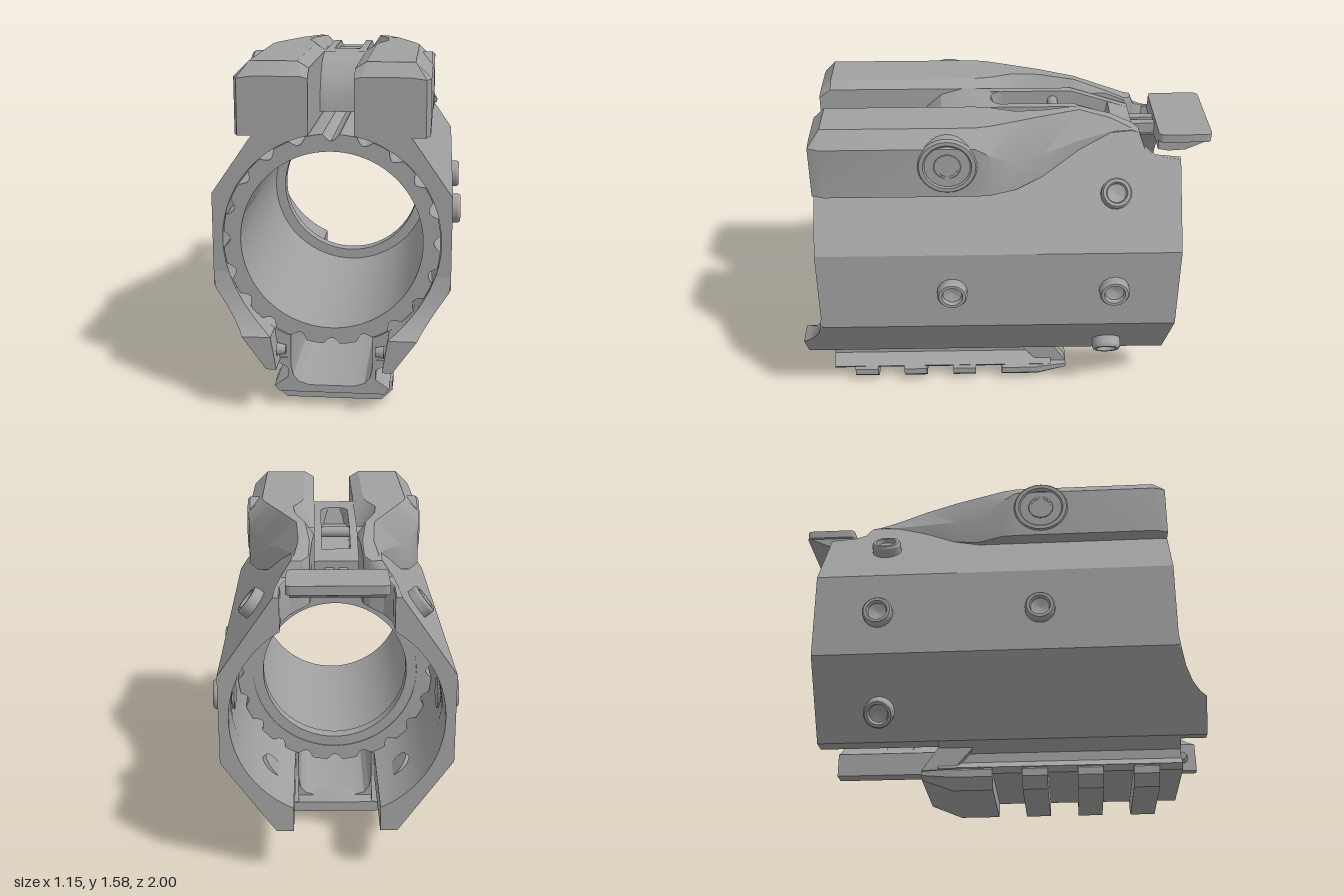
import * as THREE from 'three';
import { toCreasedNormals } from 'three/addons/utils/BufferGeometryUtils.js';

const CY = 0.79;      // bore axis height
const BORE = 0.485;   // housing bore radius
const V2 = (p) => new THREE.Vector2(p[0], p[1]);

// Skin equal-length closed cross-sections and cap both ends
function loft(sections) {
  const n = sections[0].length, pos = sections.flat(2), idx = [];
  for (let s = 0; s < sections.length - 1; s++)
    for (let i = 0; i < n; i++) {
      const j = (i + 1) % n, a = s * n + i, b = s * n + j;
      idx.push(a, b, b + n, a, b + n, a + n);
    }
  const flat = (sec, ax) => sec.map((p) => new THREE.Vector2(p[0], p[ax]));
  const ax = sections[0].every((p) => p[2] === sections[0][0][2]) ? 1 : 2;
  const last = (sections.length - 1) * n;
  const area = Math.sign(THREE.ShapeUtils.area(flat(sections[0], ax)));
  for (const [sec, off, front] of [[sections[0], 0, false], [sections.at(-1), last, true]])
    for (const t of THREE.ShapeUtils.triangulateShape(flat(sec, ax), [])) {
      const p = t.map((i) => flat(sec, ax)[i]);
      const cross = (p[1].x - p[0].x) * (p[2].y - p[0].y) - (p[1].y - p[0].y) * (p[2].x - p[0].x);
      const keep = (cross * area > 0) === front;
      idx.push(t[0] + off, t[keep ? 1 : 2] + off, t[keep ? 2 : 1] + off);
    }
  // Turn the skin outward if its signed volume is negative
  const P = (i) => new THREE.Vector3().fromArray(pos, i * 3);
  let vol = 0;
  for (let i = 0; i < idx.length; i += 3) vol += P(idx[i]).dot(P(idx[i + 1]).cross(P(idx[i + 2])));
  if (vol < 0) idx.reverse();
  const g = new THREE.BufferGeometry();
  g.setAttribute('position', new THREE.Float32BufferAttribute(pos, 3));
  g.setIndex(idx);
  return toCreasedNormals(g, 0.4);
}

// Mirror a geometry across x with corrected winding
function mirrored(geo) {
  const g = geo.index ? geo.toNonIndexed() : geo.clone();
  for (const name of ['position', 'normal']) {
    const a = g.attributes[name];
    for (let i = 0; i < a.count; i += 3) {
      const t = [a.getX(i + 1), a.getY(i + 1), a.getZ(i + 1)];
      a.setXYZ(i + 1, a.getX(i + 2), a.getY(i + 2), a.getZ(i + 2));
      a.setXYZ(i + 2, ...t);
    }
    for (let i = 0; i < a.count; i++) a.setX(i, -a.getX(i));
  }
  return g;
}

// Extrude an x,y outline from z0 to z1
function alongZ(shape, z0, z1) {
  const s = Array.isArray(shape) ? new THREE.Shape(shape.map(V2)) : shape;
  const g = new THREE.ExtrudeGeometry(s, { depth: z1 - z0, bevelEnabled: false, curveSegments: 40 });
  return toCreasedNormals(g.translate(0, 0, z0), 0.4);
}
// Extrude a z,y outline from x0 to x1
const alongX = (pts, x0, x1) => alongZ(pts, -x1, -x0).rotateY(-Math.PI / 2);
const symmetric = (half) => [...half, ...half.map(([x, y]) => [-x, y]).reverse()];

// One cross-section of a housing half, including its top block
function housingSection([z, xi, w, yc, wt, yt, s, drop]) {
  const slant = (x) => 1 + (0.53 - x) * 1.43;
  const foot = w > 0.35 ? [0.35, 1.26] : [w, slant(w)];
  const pts = [[0.2, 0.23], [0.28, 0.23], [0.53, 0.58], [0.53, 1], foot, [w, foot[1]],
    [w, yc], [wt, yt], [xi + s, yt], [xi, yt - drop]];
  const a0 = Math.acos(xi / BORE), a1 = -Math.acos(0.2 / BORE);
  for (let i = 0; i <= 24; i++) {
    const a = a0 + (a1 - a0) * i / 24;
    pts.push([BORE * Math.cos(a), CY + BORE * Math.sin(a)]);
  }
  return pts.map(([x, y]) => [x, y, z]);
}

export function createModel() {
  const group = new THREE.Group();
  const grey = new THREE.MeshStandardMaterial({ color: 0xa0a0a0 });
  grey.name = 'grey metal';
  const add = (name, geo) => {
    const m = new THREE.Mesh(geo, grey);
    m.name = name;
    group.add(m);
    return m;
  };
  const pair = (name, geo) => { add(name + 'Left', geo); add(name + 'Right', mirrored(geo)); };

  // Housing halves: z, inner x, block x, side top, top edge x, top y, scoop width, scoop depth
  pair('housing', loft([
    [0.875, 0.1, 0.41, 1.51, 0.34, 1.52, 0.03, 0.01],
    [0.82, 0.1, 0.43, 1.51, 0.36, 1.58, 0.05, 0.03],
    [0.12, 0.1, 0.43, 1.51, 0.36, 1.58, 0.05, 0.03],
    [0.05, 0.1, 0.425, 1.47, 0.345, 1.58, 0.06, 0.05],
    [-0.07, 0.1, 0.375, 1.4, 0.3, 1.58, 0.1, 0.12],
    [-0.2, 0.1, 0.32, 1.42, 0.25, 1.58, 0.09, 0.12],
    [-0.37, 0.1, 0.25, 1.45, 0.18, 1.575, 0.04, 0.06],
    [-0.52, 0.11, 0.205, 1.47, 0.17, 1.525, 0.01, 0.01],
    [-0.62, 0.12, 0.2, 1.475, 0.19, 1.48, 0.005, 0.01],
    [-0.655, 0.15, 0.205, 1.465, 0.2, 1.468, 0.005, 0.01],
    [-0.68, 0.21, 0.25, 1.4, 0.248, 1.401, 0.005, 0.01],
    [-0.73, 0.25, 0.27, 1.372, 0.268, 1.373, 0.005, 0.005],
    [-0.85, 0.25, 0.28, 1.358, 0.275, 1.36, 0.005, 0.005],
  ].map(housingSection)));

  // Curved lower horns at the front of the housing
  pair('frontHorn', loft([[0.23, 1], [0.38, 1], [0.4, 0.97], [0.44, 0.935], [0.5, 0.905], [0.57, 0.885], [0.64, 0.875]]
    .map(([y, zf]) => {
      const xo = Math.min(0.53, 0.28 + (y - 0.23) * 0.714);
      const xi = y < 0.38 ? 0.235 : Math.sqrt(BORE ** 2 - (y - CY) ** 2);
      return [[xi, y, 0.86], [xo, y, 0.86], [xo, y, zf], [xi, y, zf]];
    })));
  pair('hornPin', new THREE.CylinderGeometry(0.02, 0.03, 0.04, 12).rotateZ(Math.PI / 2).translate(0.22, 0.3, 0.93));

  // Fluted sleeve with a narrower lip at its rear
  const rim = [], N = 320;
  for (let i = 0; i < N; i++) {
    const a = i / N * Math.PI * 2, r = 0.482 - 0.03 * Math.max(0, Math.cos(20 * (a - Math.PI / 2)));
    rim.push([r * Math.cos(a), CY + r * Math.sin(a)]);
  }
  const sleeve = new THREE.Shape(rim.map(V2));
  sleeve.holes.push(new THREE.Path().absarc(0, CY, 0.405, 0, Math.PI * 2, true));
  add('sleeve', alongZ(sleeve, -0.26, 0.87));
  const lip = new THREE.Shape().absarc(0, CY, 0.42, 0, Math.PI * 2);
  lip.holes.push(new THREE.Path().absarc(0, CY, 0.355, 0, Math.PI * 2, true));
  add('sleeveLip', alongZ(lip, -0.255, -0.19));

  // Retaining screws with dished heads
  const screw = (len) => toCreasedNormals(new THREE.LatheGeometry(
    [[0, 0], [0.072, 0], [0.072, len - 0.012], [0.064, len], [0.05, len], [0.044, len - 0.02], [0, len - 0.035]].map(V2), 28), 0.5);
  for (const [x, y, z, angle, len] of [
    [0.575, CY, 0.235, 0, 0.1], [0.575, CY, -0.54, 0, 0.1],
    [0.41, 1.26, -0.54, 0.67, 0.15], [0.41, 0.32, -0.54, -0.67, 0.15]]) {
    const g = screw(len).translate(0, -len, 0).rotateZ(angle - Math.PI / 2).translate(x, y, z);
    pair('screw', g);
  }

  // Round side knobs: outer collar around a socketed stud
  const knob = [[0.14, 0], [0.14, 0.125], [0.13, 0.137], [0.112, 0.137], [0.1, 0.125], [0.1, 0.095],
    [0.068, 0.095], [0.068, 0.125], [0.06, 0.132], [0.05, 0.132], [0.05, 0.1], [0, 0.1]];
  pair('sideKnob', toCreasedNormals(new THREE.LatheGeometry(knob.map(V2), 36), 0.5)
    .rotateZ(-Math.PI / 2).translate(0.3, 1.42, 0.245));
  pair('knobRib', new THREE.BoxGeometry(0.03, 0.015, 0.045).rotateX(0.6).translate(0.415, 1.468, 0.312));
  pair('knobRib', new THREE.BoxGeometry(0.03, 0.015, 0.045).rotateX(0.6).translate(0.415, 1.372, 0.178));

  // Lever in the top channel: two cheeks with a slotted web between them
  const leverTop = [[0.4, 1.29], [0.39, 1.38], [0.35, 1.46], [0.28, 1.52], [0.18, 1.55]];
  const leverBase = [[-0.63, 1.36], [-0.2, 1.3], [0.3, 1.28]];
  pair('leverCheek', alongX([...leverBase, ...leverTop, [-0.35, 1.55], [-0.63, 1.46]], 0.065, 0.1));
  add('leverWeb', alongX([...leverBase, ...leverTop, [0.04, 1.55], [0.02, 1.47], [-0.3, 1.46],
    [-0.52, 1.42], [-0.53, 1.49], [-0.63, 1.46]], -0.066, 0.066));
  const corners = new THREE.Shape([[-0.066, -0.06], [0.066, -0.06], [0.066, 0.02]].map(V2));
  corners.absarc(0, -0.02, 0.066, 0, Math.PI, false);
  const slotEnd = new THREE.Shape([[0.066, -0.02], [0.066, 0.05], [-0.066, 0.05], [-0.066, -0.02]].map(V2));
  slotEnd.absarc(0, -0.02, 0.065, Math.PI, 0, true);
  add('leverSlotEnd', alongZ(slotEnd, 0, 0.08).rotateX(Math.PI / 2).translate(0, 1.549, 0));
  add('leverPin', new THREE.CylinderGeometry(0.025, 0.025, 0.28, 16).rotateZ(Math.PI / 2).translate(0, 1.5, -0.26));

  // Thumb tab on a short twin stem at the rear
  pair('tabStem', alongX([[-0.58, 1.38], [-0.58, 1.43], [-0.78, 1.43], [-0.78, 1.38]], 0.012, 0.05));
  add('tabStemCore', alongX([[-0.58, 1.38], [-0.58, 1.41], [-0.78, 1.41], [-0.78, 1.38]], -0.015, 0.015));
  const tab = new THREE.Shape();
  const X = 0.22, R = 0.03, Z0 = 0.75, Z1 = 1;
  tab.moveTo(-X + R, Z0).lineTo(X - R, Z0).quadraticCurveTo(X, Z0, X, Z0 + R).lineTo(X, Z1 - R)
    .quadraticCurveTo(X, Z1, X - R, Z1).lineTo(-X + R, Z1).quadraticCurveTo(-X, Z1, -X, Z1 - R)
    .lineTo(-X, Z0 + R).quadraticCurveTo(-X, Z0, -X + R, Z0);
  add('thumbTab', alongZ(tab, 0, 0.04).rotateX(-Math.PI / 2).translate(0, 1.417, 0));
  add('tabUnderside', alongX([[-0.75, 1.42], [-0.75, 1.375], [-0.8, 1.365], [-0.88, 1.37], [-0.99, 1.42]], -0.205, 0.205));

  // Hollow rail bridging the housing halves underneath
  add('railCore', alongZ(symmetric([[0.24, 0.075], [0.262, 0.1], [0.2, 0.145], [0.2, 0.19], [0.28, 0.235],
    [0.2, 0.24], [0.2, 0.35], [0.185, 0.35], [0.185, 0.2], [0.175, 0.155], [0.15, 0.125], [0.1, 0.11]]), -0.27, 0.88));
  const tooth = symmetric([[0.22, 0], [0.272, 0.05], [0.272, 0.085], [0.2, 0.14], [0.17, 0.1]]);
  for (const [z0, z1] of [[0.65, 0.77], [0.39, 0.51], [0.13, 0.25], [-0.2, -0.01]])
    add('railTooth', alongZ(tooth, z0, z1));

  // Swept rear end of the rail
  add('railTail', loft([[-0.2, 0.272, 0.22, 0], [-0.35, 0.25, 0.21, 0.06]].map(([z, wide, low, y]) =>
    symmetric([[low, y], [wide, Math.max(0.05, y + 0.01)], [wide, 0.09], [0.2, 0.11]]).map(([x, h]) => [x, h, z]))));
  pair('railTailWing', alongX([[-0.35, 0.1], [-0.27, 0.215], [-0.1, 0.215], [-0.2, 0.1]], 0.186, 0.235));
  return group;
}
